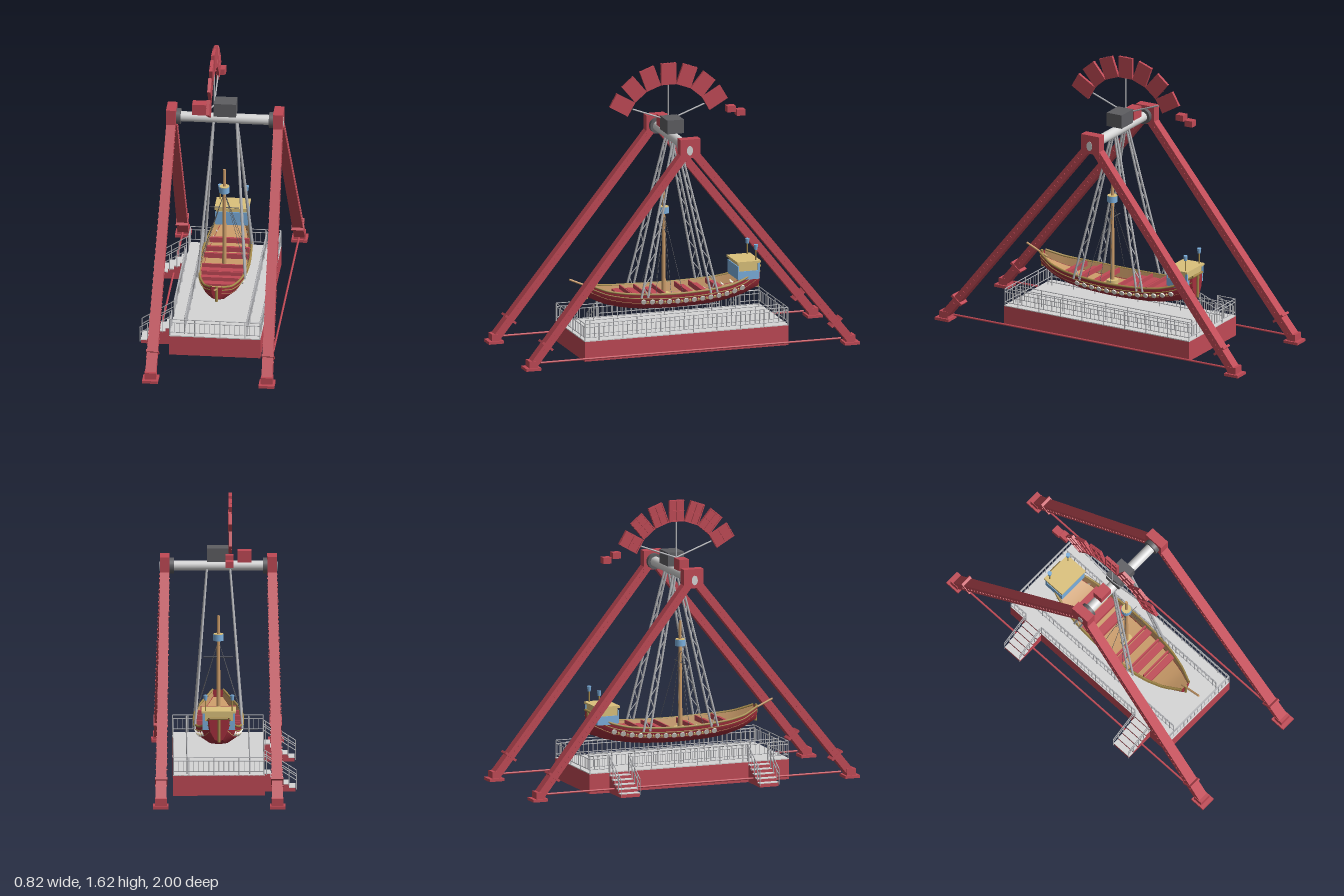
import * as THREE from 'three';
import { mergeGeometries, toCreasedNormals } from 'three/addons/utils/BufferGeometryUtils.js';

const mat = (name, color) => {
  const m = new THREE.MeshStandardMaterial({ color, side: THREE.DoubleSide });
  m.name = name;
  return m;
};
const red = mat('red paint', 0xc04955), hullRed = mat('hull red', 0xa42f3c);
const pale = mat('pale metal', 0xd6d6d6), steel = mat('steel', 0xb4b5b9), dark = mat('dark metal', 0x5e5e62);
const blue = mat('blue', 0x7cb0de), tan = mat('tan', 0xdcc27c), wood = mat('wood', 0xcb9c69), trim = mat('trim', 0xa58a4a);
const white = mat('white', 0xe6e2da);

const V = (x, y, z) => new THREE.Vector3(x, y, z);
const CX = 0.03; // centre plane of the ride

// Box from centre and size, optionally turned about x
function box(x, y, z, w, h, d, rx = 0) {
  return new THREE.BoxGeometry(w, h, d).rotateX(rx).translate(x, y, z);
}
// Box beam or round rod between two points
function beam(a, b, w, d) {
  const dir = b.clone().sub(a);
  return new THREE.BoxGeometry(w, dir.length(), d).rotateX(Math.atan2(dir.z, dir.y)).translate((a.x + b.x) / 2, (a.y + b.y) / 2, (a.z + b.z) / 2);
}
function rod(a, b, r, sides = 12) {
  const dir = b.clone().sub(a), len = dir.length();
  const q = new THREE.Quaternion().setFromUnitVectors(V(0, 1, 0), dir.normalize());
  return new THREE.CylinderGeometry(r, r, len, sides).applyQuaternion(q).translate((a.x + b.x) / 2, (a.y + b.y) / 2, (a.z + b.z) / 2);
}

// Hull curves from bow to stern: half width, keel height, sheer height
const halfW = [0.03, 0.08, 0.111, 0.129, 0.137, 0.14, 0.138, 0.131, 0.117, 0.092, 0.055];
const keel = [0.31, 0.262, 0.237, 0.225, 0.22, 0.218, 0.22, 0.225, 0.237, 0.258, 0.295];
const sheer = [0.388, 0.352, 0.337, 0.33, 0.325, 0.323, 0.325, 0.33, 0.34, 0.366, 0.425];
const hullCurve = new THREE.CatmullRomCurve3(halfW.map((w, i) => V(w, keel[i], sheer[i])));
// Point on a section: u across (fraction of half width), v up (fraction of depth)
function hullPoint(z, u, v) {
  const s = hullCurve.getPoint(THREE.MathUtils.clamp((0.51 - z) / 1.02, 0, 1));
  return V(CX + s.x * u, s.y + (s.z - s.y) * v, z);
}
function loft(profile, caps) {
  const pos = [], index = [], n = profile.length, rows = 31;
  for (let i = 0; i < rows; i++) {
    for (const [u, v] of profile) pos.push(...hullPoint(0.51 - (1.02 * i) / (rows - 1), u, v).toArray());
  }
  for (let i = 0; i < rows - 1; i++) {
    for (let j = 0; j < n - 1; j++) {
      const a = i * n + j, b = a + n;
      index.push(a, a + 1, b, b, a + 1, b + 1);
    }
  }
  if (caps) {
    const e = (rows - 1) * n;
    for (let j = 1; j < n - 1; j++) index.push(0, j + 1, j, e, e + j, e + j + 1);
  }
  const g = new THREE.BufferGeometry();
  g.setAttribute('position', new THREE.Float32BufferAttribute(pos, 3));
  g.setIndex(index);
  return toCreasedNormals(g, 0.5);
}
function hullTube(u, v, r) {
  const pts = Array.from({ length: 22 }, (_, i) => hullPoint(0.51 - (1.02 * i) / 21, u, v));
  return new THREE.TubeGeometry(new THREE.CatmullRomCurve3(pts), 50, r, 10);
}

// Straight railing with closely set bars
function railing(a, b) {
  const up = (p, h) => V(p.x, p.y + h, p.z);
  const parts = [0.02, 0.08, 0.1].map((h) => rod(up(a, h), up(b, h), 0.0025));
  const n = Math.max(1, Math.round(a.distanceTo(b) / 0.028));
  for (let i = 0; i <= n; i++) {
    const p = a.clone().lerp(b, i / n), post = i % 5 === 0 || i === n;
    parts.push(rod(up(p, post ? 0 : 0.02), up(p, post ? 0.1 : 0.08), post ? 0.003 : 0.002));
  }
  return parts;
}

export function createModel() {
  const model = new THREE.Group();
  const add = (name, material, parts) => {
    const list = [].concat(parts).map((g) => (g.index ? g.toNonIndexed() : g));
    const mesh = new THREE.Mesh(mergeGeometries(list), material);
    mesh.name = name;
    model.add(mesh);
  };

  // A-frame towers
  const legs = [], bolts = [], feet = [], heads = [], plates = [];
  for (const s of [-1, 1]) {
    const topX = CX + s * 0.305, footX = CX + s * 0.332;
    heads.push(box(topX, 1.215, 0, 0.056, 0.11, 0.12));
    plates.push(new THREE.CylinderGeometry(0.028, 0.028, 0.008, 16).rotateZ(Math.PI / 2).scale(1, 1, 0.65).translate(topX + s * 0.026, 1.205, 0.005));
    feet.push(rod(V(footX, 0.035, -0.9), V(footX, 0.035, 0.9), 0.006));
    for (const e of [-1, 1]) {
      const foot = V(footX, 0.03, e * 0.95), top = V(topX, 1.2, e * 0.015);
      const leg = beam(foot, top, 0.054, 0.046), p = leg.attributes.position;
      // Shear the beam so that it leans inwards and widens at the foot
      for (let i = 0; i < p.count; i++) {
        const t = (p.getY(i) - 0.03) / 1.17, mid = (topX + footX) / 2;
        p.setX(i, footX + (topX - footX) * t + (p.getX(i) - mid) * (1.15 - 0.2 * t));
      }
      legs.push(leg);
      const tilt = Math.atan2(top.z - foot.z, top.y - foot.y);
      for (let i = 3; i < 42; i++) {
        const q = foot.clone().lerp(top, i / 43);
        bolts.push(box(q.x, q.y, q.z, 0.069 - 0.01 * (i / 42), 0.007, 0.01, tilt));
      }
      const c = foot.clone().lerp(top, 0.09);
      feet.push(box(c.x, c.y, c.z, 0.07, 0.014, 0.08, tilt));
      feet.push(box(footX, 0.008, e * 0.955, 0.09, 0.016, 0.09), box(footX, 0.03, e * 0.95, 0.068, 0.05, 0.055));
    }
  }
  add('legs', red, legs);
  add('legBolts', red, bolts);
  add('feetAndTies', red, feet);
  add('towerHeads', red, heads);
  add('headPlates', pale, plates);

  // Axle and drive
  const axle = (x0, x1, r) => rod(V(x0, 1.21, 0), V(x1, 1.21, 0), r, 24);
  add('axle', pale, axle(-0.25, 0.31, 0.029));
  add('axleFlanges', dark, [axle(-0.247, -0.222, 0.045), axle(0.282, 0.307, 0.045)]);
  add('driveBox', dark, box(0.032, 1.28, 0, 0.127, 0.08, 0.1));
  add('motorBox', red, box(-0.117, 1.267, 0, 0.08, 0.065, 0.06));

  // Fan of sign panels with ribs on the rear
  const panels = [], ribs = [];
  for (let i = -3; i <= 3; i++) {
    const a = (i * Math.PI) / 9;
    const place = (g) => g.translate(0, 0.32, 0).rotateX(a).translate(-0.033, 1.24, 0);
    panels.push(place(box(0, 0, 0, 0.012, 0.125, 0.09)));
    for (const k of [-1, 0, 1]) {
      ribs.push(place(box(-0.009, 0, k * 0.041, 0.008, 0.125, 0.006)), place(box(-0.009, k * 0.058, 0, 0.008, 0.006, 0.09)));
    }
  }
  panels.push(box(-0.03, 1.33, -0.37, 0.045, 0.036, 0.05), box(-0.03, 1.305, -0.428, 0.045, 0.036, 0.05));
  add('signPanels', red, panels);
  add('signRibs', red, ribs);
  add('signStruts', steel, [[0, 1.51], [0.215, 1.37], [-0.215, 1.37]].map(([z, y]) => rod(V(-0.033, 1.29, 0), V(-0.033, y, z), 0.0045)));

  // Swing arms: paired tubes with light bracing
  const arms = [];
  for (const s of [-1, 1]) for (const e of [-1, 1]) {
    const at = (t, j) => V(CX + s * (0.064 + 0.071 * t), 1.22 - 0.91 * t, e * (0.005 + 0.203 * t + j * (0.007 + 0.013 * t)));
    for (const j of [-1, 1]) arms.push(rod(at(0, j), at(1, j), 0.0065));
    for (let k = 0; k < 14; k++) {
      const j = k % 2 ? 1 : -1;
      arms.push(rod(at(k / 14, j), at((k + 1) / 14, -j), 0.003));
    }
  }
  add('swingArms', steel, arms);

  // Platform, stairs and railings
  add('platform', red, box(0.03, 0.058, 0, 0.52, 0.116, 1.22));
  add('deck', pale, box(0.03, 0.118, 0, 0.52, 0.006, 1.22));
  const y = 0.12, rails = [];
  for (const z of [-0.607, 0.607]) rails.push(...railing(V(-0.227, y, z), V(0.287, y, z)));
  for (const [x, z0, z1] of [[0.287, -0.607, 0.607], [0.21, -0.58, 0.58], [-0.145, -0.58, 0.58],
    [-0.227, -0.607, -0.49], [-0.227, -0.37, 0.36], [-0.227, 0.48, 0.607]]) rails.push(...railing(V(x, y, z0), V(x, y, z1)));
  const steps = [], treads = [];
  for (const z of [-0.43, 0.42]) {
    for (let i = 0; i < 5; i++) {
      const x = -0.247 - i * 0.035, h = 0.1 - i * 0.02;
      steps.push(box(x, h / 2, z, 0.035, h, 0.116));
      treads.push(box(x, h + 0.002, z, 0.036, 0.004, 0.12));
    }
    for (const e of [-0.058, 0.058]) {
      for (const h of [0, -0.035]) rails.push(rod(V(-0.23, 0.215 + h, z + e), V(-0.41, 0.1 + h, z + e), 0.0028));
      for (let i = 0; i < 5; i++) {
        const x = -0.24 - i * 0.0425, t = (-0.23 - x) / 0.18;
        rails.push(rod(V(x, 0.1 - t * 0.09, z + e), V(x, 0.215 - t * 0.115, z + e), 0.0025));
      }
    }
  }
  add('stairs', red, steps);
  add('treads', pale, treads);
  add('railings', steel, rails);

  // Ship hull, inner shell and trim
  const half = [[1, 1], [0.99, 0.72], [0.84, 0.38], [0.42, 0.06]];
  const mirror = half.map(([u, v]) => [-u, v]);
  add('hull', hullRed, loft([...mirror, [0, 0], ...half.slice().reverse()], true));
  add('shipDeck', wood, loft([[-0.95, 1], [-0.88, 0.45], [0.88, 0.45], [0.95, 1]], false));
  add('gunwales', trim, [-1, 1].flatMap((s) => [hullTube(s, 1, 0.0065), hullTube(s * 1.01, 0.76, 0.003)]));
  add('stems', trim, [rod(V(CX, 0.3, 0.512), V(CX, 0.395, 0.515), 0.008), rod(V(CX, 0.29, -0.512), V(CX, 0.42, -0.514), 0.008),
    rod(V(-0.022, 0.425, -0.51), V(0.082, 0.425, -0.51), 0.007)]);
  // Round shields with small studs between them
  const shields = [], studs = [];
  for (const s of [-1, 1]) for (let i = 0; i < 25; i++) {
    const p = hullPoint(0.21 - i * 0.025, s * 0.955, 0.57), r = i % 2 ? 0.006 : 0.015;
    const disc = new THREE.CylinderGeometry(r, r, 0.009, 14).rotateZ(Math.PI / 2 - s * 0.4).translate(p.x, p.y, p.z);
    (i % 2 ? studs : shields).push(disc);
  }
  add('shields', white, shields);
  add('studs', tan, studs);

  // Benches with backrests
  const seats = [];
  for (const z of [-0.27, -0.17, -0.09, 0.11, 0.22, 0.31]) {
    const w = (hullPoint(z, 0.92, 0).x - CX) * 2, h = hullPoint(z, 0, 0.85).y;
    seats.push(box(CX, h - 0.008, z, w, 0.012, 0.04), box(CX, h + 0.002, z - Math.sign(z) * 0.03, w, 0.03, 0.008));
  }
  add('benches', red, seats);

  // Mast, yard, nest and rigging
  const mz = 0.05;
  add('mast', wood, [new THREE.CylinderGeometry(0.008, 0.013, 0.64, 12).translate(CX, 0.59, mz), rod(V(CX, 0.36, 0.48), V(CX, 0.42, 0.615), 0.006)]);
  add('mastBase', tan, new THREE.CylinderGeometry(0.035, 0.035, 0.03, 16).translate(CX, 0.285, mz));
  add('crowNest', blue, new THREE.CylinderGeometry(0.03, 0.03, 0.036, 16).translate(CX, 0.784, mz));
  add('crowNestFloor', tan, new THREE.CylinderGeometry(0.028, 0.028, 0.004, 16).translate(CX, 0.803, mz));
  const ropes = [rod(V(-0.054, 0.67, mz), V(0.114, 0.67, mz), 0.0025)];
  for (const s of [-1, 1]) for (const z of [0.14, 0.05, -0.02]) ropes.push(rod(V(CX, 0.765, mz), hullPoint(z, s * 0.98, 1), 0.0012));
  add('rigging', dark, ropes);

  // Stern cabin and lanterns
  add('cabin', blue, [box(CX, 0.383, -0.43, 0.184, 0.05, 0.127), box(CX, 0.402, -0.366, 0.186, 0.074, 0.006),
    ...[-1, 1].map((s) => box(CX + s * 0.086, 0.43, -0.49, 0.012, 0.05, 0.012))]);
  add('cabinWindows', tan, box(CX, 0.432, -0.43, 0.176, 0.05, 0.12));
  add('cabinRoof', tan, box(CX, 0.459, -0.43, 0.195, 0.012, 0.142));
  const lampSides = [-0.076, 0.076];
  add('lanternPosts', trim, lampSides.map((x) => rod(V(CX + x, 0.46, -0.477), V(CX + x, 0.53, -0.477), 0.004)));
  add('lanterns', blue, lampSides.map((x) => new THREE.CylinderGeometry(0.0125, 0.009, 0.03, 12).translate(CX + x, 0.541, -0.477)));
  return model;
}
